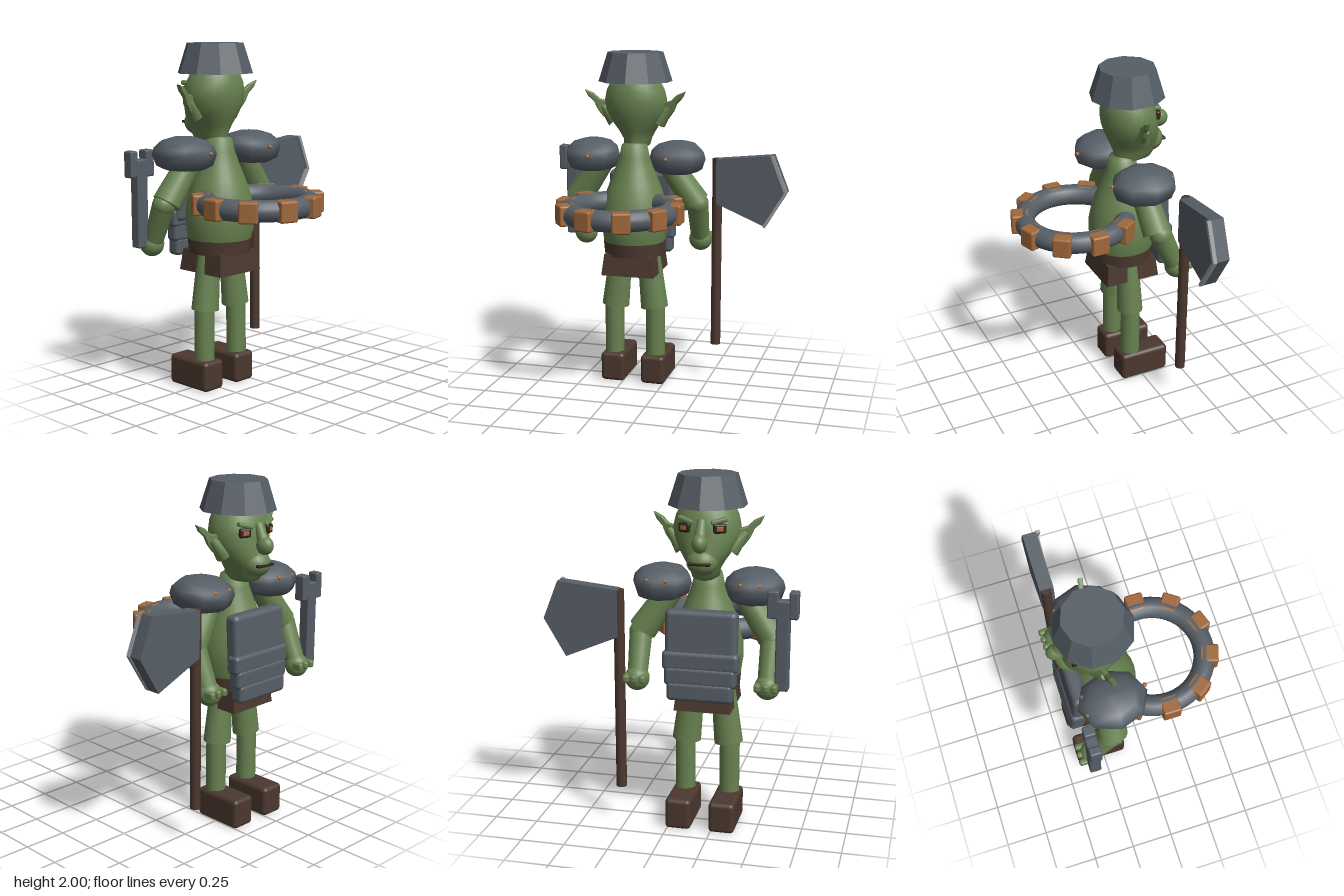
import * as THREE from 'three';
import { RoundedBoxGeometry } from 'three/addons/geometries/RoundedBoxGeometry.js';

const paint = (name, color, extra = {}) => Object.assign(new THREE.MeshStandardMaterial({ color, ...extra }), { name });

export function createModel() {
  const skin = paint('green skin', 0x688250);
  const iron = paint('iron', 0x565e66);
  const ironFlat = paint('faceted iron', 0x565e66, { flatShading: true });
  const leather = paint('brown leather', 0x4b382e);
  const copper = paint('copper', 0xa0683a);
  const steel = paint('sharpened steel', 0x969c9f);
  const dark = paint('dark', 0x33201b);

  const root = new THREE.Group();
  root.name = 'goblinWarrior';
  const body = new THREE.Group();
  body.name = 'body';
  body.position.x = -0.1875;
  root.add(body);

  function add(parent, name, geometry, material, x = 0, y = 0, z = 0) {
    const mesh = new THREE.Mesh(geometry, material);
    mesh.name = name;
    mesh.position.set(x, y, z);
    parent.add(mesh);
    return mesh;
  }
  const box = (w, h, d, r = 0.02) => new RoundedBoxGeometry(w, h, d, 3, r);
  const ball = (rx, ry, rz) => new THREE.SphereGeometry(1, 20, 14).scale(rx, ry, rz);
  const lathe = (points, segments) =>
    new THREE.LatheGeometry(points.map(([r, y]) => new THREE.Vector2(r, y)), segments);

  // tapered cylinder between two points
  function limb(parent, name, a, b, ra, rb, material) {
    const p = new THREE.Vector3(...a), q = new THREE.Vector3(...b);
    const dir = q.clone().sub(p);
    const mesh = add(parent, name, new THREE.CylinderGeometry(rb, ra, dir.length(), 16), material);
    mesh.position.copy(p).add(q).multiplyScalar(0.5);
    mesh.quaternion.setFromUnitVectors(new THREE.Vector3(0, 1, 0), dir.normalize());
    return mesh;
  }

  // flat outline given thickness along z
  function slab(points, depth, bevel = 0) {
    const shape = new THREE.Shape(points.map(([x, y]) => new THREE.Vector2(x, y)));
    return new THREE.ExtrudeGeometry(shape, {
      depth, bevelEnabled: bevel > 0, bevelSize: bevel, bevelThickness: bevel, bevelSegments: 3,
    });
  }

  // stacked ellipses: [y, half width, back z, front z]
  function loft(rows, n = 28) {
    const pos = [], idx = [];
    rows.forEach(([y, w, zb, zf]) => {
      for (let i = 0; i < n; i++) {
        const t = (i / n) * Math.PI * 2;
        pos.push(w * Math.sin(t), y, (zb + zf) / 2 + ((zb - zf) / 2) * Math.cos(t));
      }
    });
    for (let r = 0; r < rows.length - 1; r++) {
      for (let i = 0; i < n; i++) {
        const a = r * n + i, b = r * n + ((i + 1) % n);
        idx.push(a, b, b + n, a, b + n, a + n);
      }
    }
    const g = new THREE.BufferGeometry();
    g.setAttribute('position', new THREE.Float32BufferAttribute(pos, 3));
    g.setIndex(idx);
    g.computeVertexNormals();
    return g;
  }

  // torso and neck
  add(body, 'torso', lathe([[0, 0.82], [0.165, 0.82], [0.185, 0.89], [0.199, 0.98], [0.196, 1.06], [0.178, 1.15],
    [0.15, 1.23], [0.118, 1.31], [0.09, 1.39], [0.075, 1.46], [0, 1.5]], 28), skin, 0, 0, -0.19);

  // head and face
  add(body, 'head', loft([[1.43, 0.01, -0.2, -0.24], [1.435, 0.05, -0.15, -0.33], [1.45, 0.073, -0.135, -0.37],
    [1.49, 0.08, -0.138, -0.4], [1.54, 0.108, -0.118, -0.415], [1.6, 0.15, -0.092, -0.405],
    [1.66, 0.177, -0.073, -0.392], [1.72, 0.185, -0.067, -0.385], [1.78, 0.172, -0.07, -0.375],
    [1.84, 0.14, -0.09, -0.345], [1.9, 0.08, -0.14, -0.29], [1.93, 0.004, -0.21, -0.22]]), skin);
  add(body, 'muzzle', ball(0.085, 0.075, 0.08), skin, 0, 1.545, -0.36);
  add(body, 'nose', ball(0.042, 0.052, 0.055), skin, 0, 1.655, -0.422);
  limb(body, 'noseBridge', [0, 1.66, -0.42], [0, 1.77, -0.37], 0.036, 0.025, skin);
  add(body, 'mouth', box(0.12, 0.016, 0.04, 0.006), dark, 0, 1.545, -0.422);

  // bucket helmet
  add(body, 'helmet', new THREE.CylinderGeometry(0.163, 0.217, 0.17, 10), ironFlat, 0, 1.915, -0.2175);

  // belt and flared loincloth
  add(body, 'belt', new THREE.CylinderGeometry(0.187, 0.18, 0.08, 24), leather, 0, 0.847, -0.19);
  const cloth = new THREE.BoxGeometry(0.29, 0.125, 0.31);
  const cp = cloth.attributes.position;
  for (let i = 0; i < cp.count; i++) {
    if (cp.getY(i) < 0) cp.setXYZ(i, cp.getX(i) * 1.1, cp.getY(i), cp.getZ(i) * 1.1);
  }
  cloth.computeVertexNormals();
  add(body, 'loincloth', cloth, leather, 0, 0.757, -0.19);

  // layered chest plate
  const chest = new THREE.Group();
  chest.name = 'chestPlate';
  body.add(chest);
  add(chest, 'upperPlate', box(0.4, 0.3, 0.09, 0.03), iron, 0, 1.13, -0.365).rotation.x = 0.06;
  [[0.425, 1.0, -0.385], [0.4, 0.915, -0.39], [0.37, 0.83, -0.395]].forEach(([w, y, z]) =>
    add(chest, 'plateSlat', box(w, 0.11, 0.085, 0.025), iron, 0, y, z));

  // spare ring with copper bands behind the back
  const ring = new THREE.Group();
  ring.name = 'bandedRing';
  ring.position.set(0, 1.122, 0.115);
  body.add(ring);
  add(ring, 'ring', new THREE.TorusGeometry(0.293, 0.061, 16, 48).rotateX(Math.PI / 2), iron);
  for (let i = 0; i < 10; i++) {
    const a = (i * Math.PI) / 5;
    add(ring, 'ringBand', box(0.105, 0.118, 0.105, 0.012), copper,
      0.318 * Math.cos(a), 0, 0.318 * Math.sin(a)).rotation.y = -a;
  }

  // mirrored parts
  const ear = slab([[-0.02, -0.05], [0.03, -0.035], [0.065, 0.01], [0.085, 0.055], [0.122, 0.09], [0.138, 0.115],
    [0.1, 0.095], [0.06, 0.06], [0.02, 0.05], [-0.02, 0.045]], 0.012, 0.008);
  const pad = lathe([[0, -0.093], [0.11, -0.09], [0.145, -0.07], [0.165, -0.01], [0.155, 0.03], [0.115, 0.07],
    [0.06, 0.088], [0, 0.093]], 8).scale(1.02, 1, 1.18);
  for (const s of [1, -1]) {
    const side = new THREE.Group();
    side.name = s > 0 ? 'leftSide' : 'rightSide';
    side.scale.x = s;
    body.add(side);

    const earMesh = add(side, 'ear', ear, skin, 0.165, 1.655, -0.235);
    earMesh.rotation.y = -0.25;
    limb(side, 'earRoot', [0.13, 1.6, -0.24], [0.215, 1.69, -0.225], 0.055, 0.02, skin);

    const eye = add(side, 'eye', box(0.07, 0.052, 0.03, 0.012), dark, 0.095, 1.728, -0.362);
    eye.rotation.y = -0.35;
    add(eye, 'iris', box(0.036, 0.024, 0.008, 0.003), copper, 0, 0, -0.014);
    add(side, 'brow', box(0.09, 0.025, 0.04, 0.01), skin, 0.09, 1.768, -0.358).rotation.set(0, -0.35, 0.25);

    // shoulder pad and studs
    add(side, 'shoulderPad', pad, iron, 0.26, 1.398, -0.2);
    [[0.31, 1.425, -0.352], [0.205, 1.425, -0.352], [0.235, 1.405, -0.012]].forEach((p) =>
      add(side, 'stud', ball(0.012, 0.012, 0.012), copper, ...p));

    // arm and hand
    limb(side, 'upperArm', [0.2, 1.36, -0.21], [0.365, 1.12, -0.235], 0.07, 0.083, skin);
    add(side, 'elbow', ball(0.066, 0.066, 0.066), skin, 0.37, 1.11, -0.255);
    limb(side, 'forearm', [0.37, 1.11, -0.255], [0.365, 0.89, -0.355], 0.065, 0.056, skin);
    add(side, 'hand', ball(0.07, 0.07, 0.068), skin, 0.365, 0.873, -0.365);
    for (let i = -1; i <= 1; i++) {
      add(side, 'finger', box(0.036, 0.045, 0.07, 0.014), skin, 0.365 + i * 0.046, 0.885, -0.415);
    }

    // leg and boot
    limb(side, 'thigh', [0.122, 0.475, -0.19], [0.085, 0.82, -0.19], 0.083, 0.068, skin).scale.z = 0.92;
    limb(side, 'shin', [0.129, 0.17, -0.19], [0.129, 0.49, -0.19], 0.058, 0.058, skin);
    add(side, 'boot', box(0.148, 0.178, 0.31, 0.025), leather, 0.125, 0.091, -0.265);
  }

  // axe
  const axe = new THREE.Group();
  axe.name = 'axe';
  root.add(axe);
  limb(axe, 'axeHandle', [0.278, 0.215, -0.36], [0.278, 1.37, -0.36], 0.03, 0.03, leather);
  add(axe, 'axeBlade', slab([[0.28, 1.105], [0.58, 0.977], [0.705, 1.19], [0.62, 1.405], [0.28, 1.37]], 0.08),
    ironFlat, 0, 0, -0.393);
  add(axe, 'axeEdge', slab([[0.565, 0.983], [0.58, 0.975], [0.71, 1.19], [0.624, 1.407], [0.606, 1.403],
    [0.69, 1.19]], 0.024), steel, 0, 0, -0.315);

  // forked war hammer
  const hammer = new THREE.Group();
  hammer.name = 'hammer';
  root.add(hammer);
  add(hammer, 'hammerHandle', box(0.074, 0.5, 0.066, 0.01), iron, -0.633, 1.115, -0.372);
  add(hammer, 'hammerHead', box(0.05, 0.15, 0.066, 0.01), iron, -0.69, 1.34, -0.372);
  add(hammer, 'hammerHead', box(0.06, 0.15, 0.066, 0.01), iron, -0.577, 1.34, -0.372);

  return root;
}
